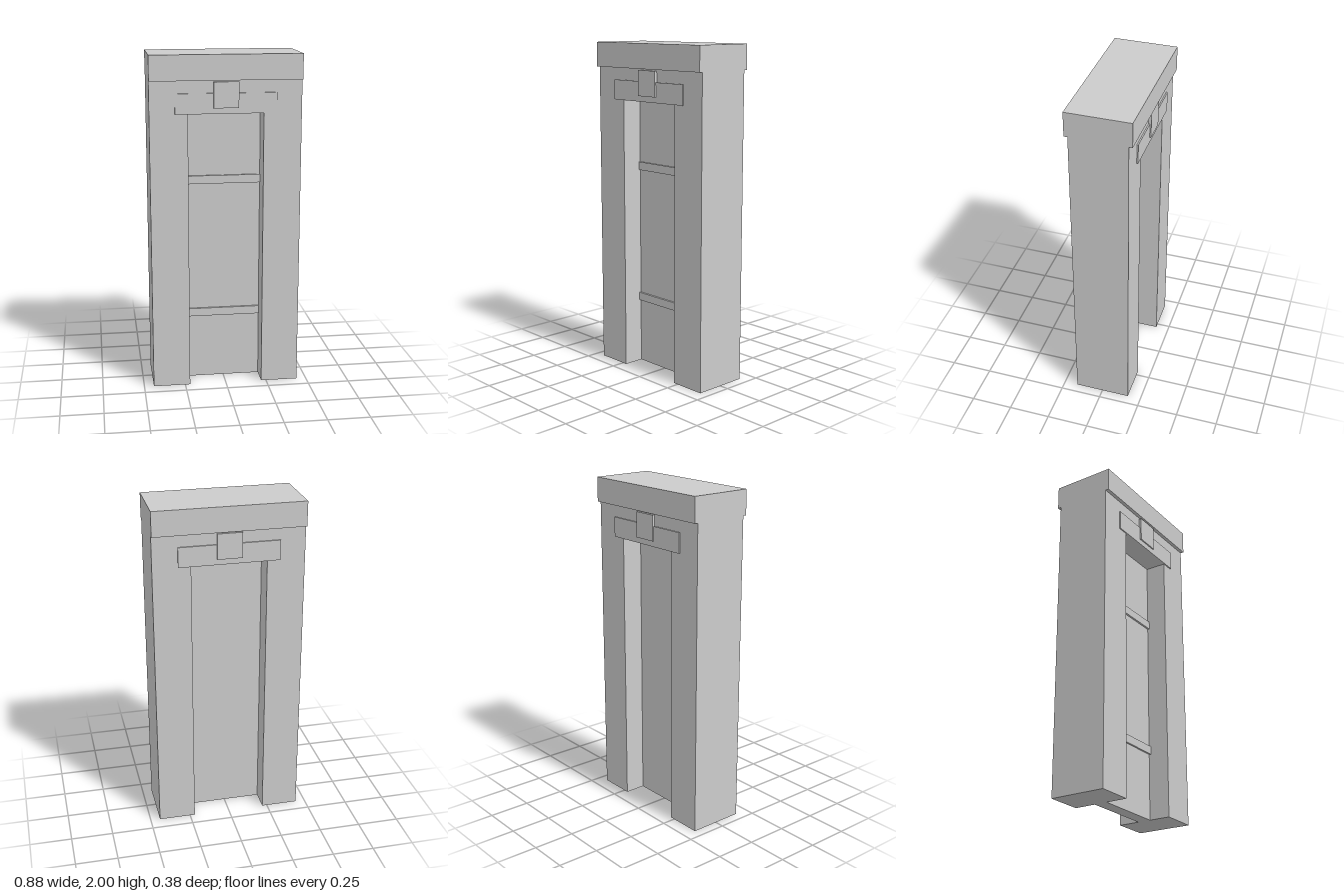
import * as THREE from 'three';

export function createModel() {
  const group = new THREE.Group();
  const material = new THREE.MeshStandardMaterial({ color: 0xcccccc, flatShading: true });

  const add = (name, geometry) => {
    const mesh = new THREE.Mesh(geometry, material);
    mesh.name = name;
    group.add(mesh);
  };
  // Box centred on x, given its width and its y and z ranges
  const block = (name, width, y0, y1, z0, z1) =>
    add(name, new THREE.BoxGeometry(width, y1 - y0, z1 - z0)
      .translate(0, (y0 + y1) / 2, (z0 + z1) / 2));

  const halfWidth = 0.442, halfDepth = 0.168, capBottom = 1.853;
  const openHalf = 0.22, openTop = 1.662, doorHalf = 0.04;

  // Door frame: two jambs joined by a head, open down to the ground
  const outline = new THREE.Shape([
    [-halfWidth, 0], [-openHalf, 0], [-openHalf, openTop], [openHalf, openTop],
    [openHalf, 0], [halfWidth, 0], [halfWidth, capBottom], [-halfWidth, capBottom],
  ].map(([x, y]) => new THREE.Vector2(x, y)));
  add('doorFrame', new THREE.ExtrudeGeometry(outline, { depth: 2 * halfDepth, bevelEnabled: false })
    .translate(0, 0, -halfDepth));

  // Cap slab, overhanging front and back
  block('capSlab', 2 * halfWidth, capBottom, 2, -0.189, 0.189);

  // Recessed door panel with two straps on its front
  block('doorPanel', 2 * openHalf, 0, openTop, -doorHalf, doorHalf);
  block('lowerStrap', 2 * openHalf, 0.398, 0.447, doorHalf, doorHalf + 0.012);
  block('upperStrap', 2 * openHalf, 1.228, 1.277, doorHalf, doorHalf + 0.012);

  // Lintel bands and keystones running through to both faces
  block('lintel', 0.59, openTop, 1.78, -0.176, 0.176);
  block('keystone', 0.146, 1.695, 1.845, -0.184, 0.184);

  return group;
}
